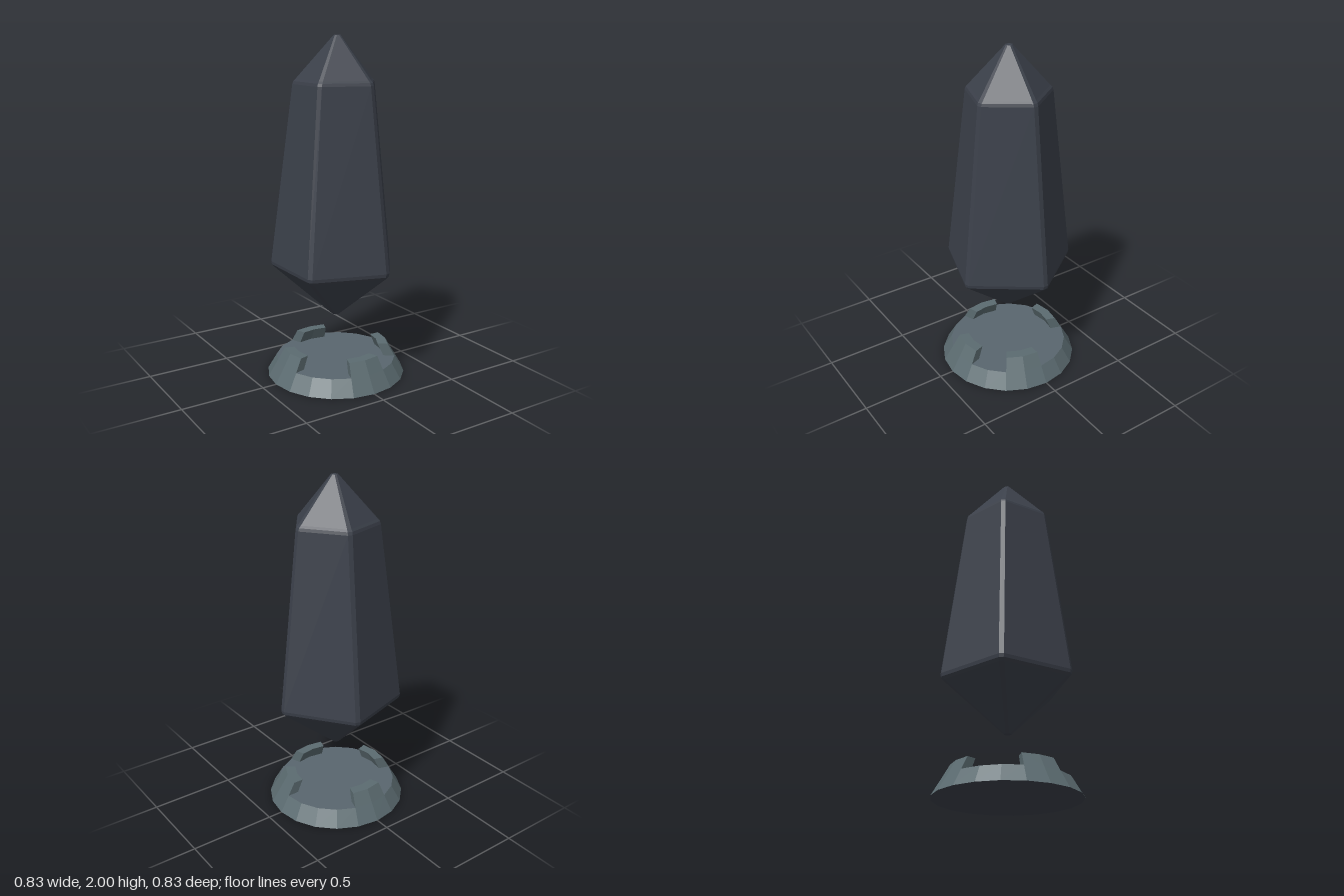
import * as THREE from 'three';

// Flat-shaded skin through closed loops of points, capped at both ends.
// Loops run counter-clockwise when seen from the last loop's side.
function loft(loops) {
  const pos = [];
  const tri = (...pts) => pts.forEach((p) => pos.push(p.x, p.y, p.z));
  const n = loops[0].length;
  for (let k = 0; k < loops.length - 1; k++) {
    const a = loops[k], b = loops[k + 1];
    for (let i = 0; i < n; i++) {
      const j = (i + 1) % n;
      tri(a[i], a[j], b[j]);
      tri(a[i], b[j], b[i]);
    }
  }
  const first = loops[0], last = loops[loops.length - 1];
  for (let i = 1; i < n - 1; i++) {
    tri(first[0], first[i + 1], first[i]);
    tri(last[0], last[i], last[i + 1]);
  }
  const geometry = new THREE.BufferGeometry();
  geometry.setAttribute('position', new THREE.Float32BufferAttribute(pos, 3));
  geometry.computeVertexNormals();
  return geometry;
}

// Pentagon with cut corners: r is the distance to each cut, w its half width,
// shift moves it along x
function pentagon(y, r, w, shift) {
  const pts = [];
  for (let k = 0; k < 5; k++) {
    const t = (k * Math.PI * 2) / 5, c = Math.cos(t), s = Math.sin(t);
    for (const d of [-w, w]) pts.push(new THREE.Vector3(shift + r * c - d * s, y, -(r * s + d * c)));
  }
  return pts;
}

function material(name, color) {
  const m = new THREE.MeshStandardMaterial({ color });
  m.name = name;
  return m;
}

export function createModel() {
  const stone = material('greyGreenStone', 0x5b6b70);
  const floorStone = material('blueGreyStone', 0x59666e);
  const dark = material('darkCrystal', 0x3b404a);

  const model = new THREE.Group();
  model.name = 'floatingCrystal';
  const add = (name, geometry, mat, parent = model) => {
    const mesh = new THREE.Mesh(geometry, mat);
    mesh.name = name;
    parent.add(mesh);
    return mesh;
  };

  // Crystal: bevelled shoulders, small blunt tips, top leaning slightly to +x
  const profile = [
    [0.36, 0.02, 0.008, 0],
    [0.648, 0.364, 0.013, 0],
    [0.664, 0.379, 0.014, 0],
    [0.684, 0.383, 0.014, 0],
    [1.728, 0.252, 0.013, 0.008],
    [1.745, 0.246, 0.013, 0.008],
    [1.757, 0.234, 0.012, 0.008],
    [2.0, 0.019, 0.006, 0.01],
  ];
  add('crystal', loft(profile.map((p) => pentagon(...p))), dark);

  // Pedestal: twenty-sided tapered disc with its own floor and underside colours
  const FLOOR = 0.095, TOP = 0.17, SIDES = 20;
  const disc = new THREE.CylinderGeometry(0.358, 0.414, FLOOR, SIDES).toNonIndexed();
  disc.computeVertexNormals();
  add('pedestalDisc', disc, [stone, floorStone, dark]).position.y = FLOOR / 2;

  // Unevenly spaced rim blocks, each two sides long and leaning inward
  const rim = new THREE.Group();
  rim.name = 'pedestalRim';
  model.add(rim);
  const section = [[0.29, FLOOR], [0.358, FLOOR], [0.315, TOP], [0.255, TOP]];
  for (const start of [0, 4, 9, 14]) {
    const loops = [0, 1, 2].map((i) => {
      const t = ((start + i) * Math.PI * 2) / SIDES;
      return section.map(([r, y]) => new THREE.Vector3(r * Math.cos(t), y, r * Math.sin(t)));
    });
    add('rimBlock', loft(loops), stone, rim);
  }
  return model;
}
